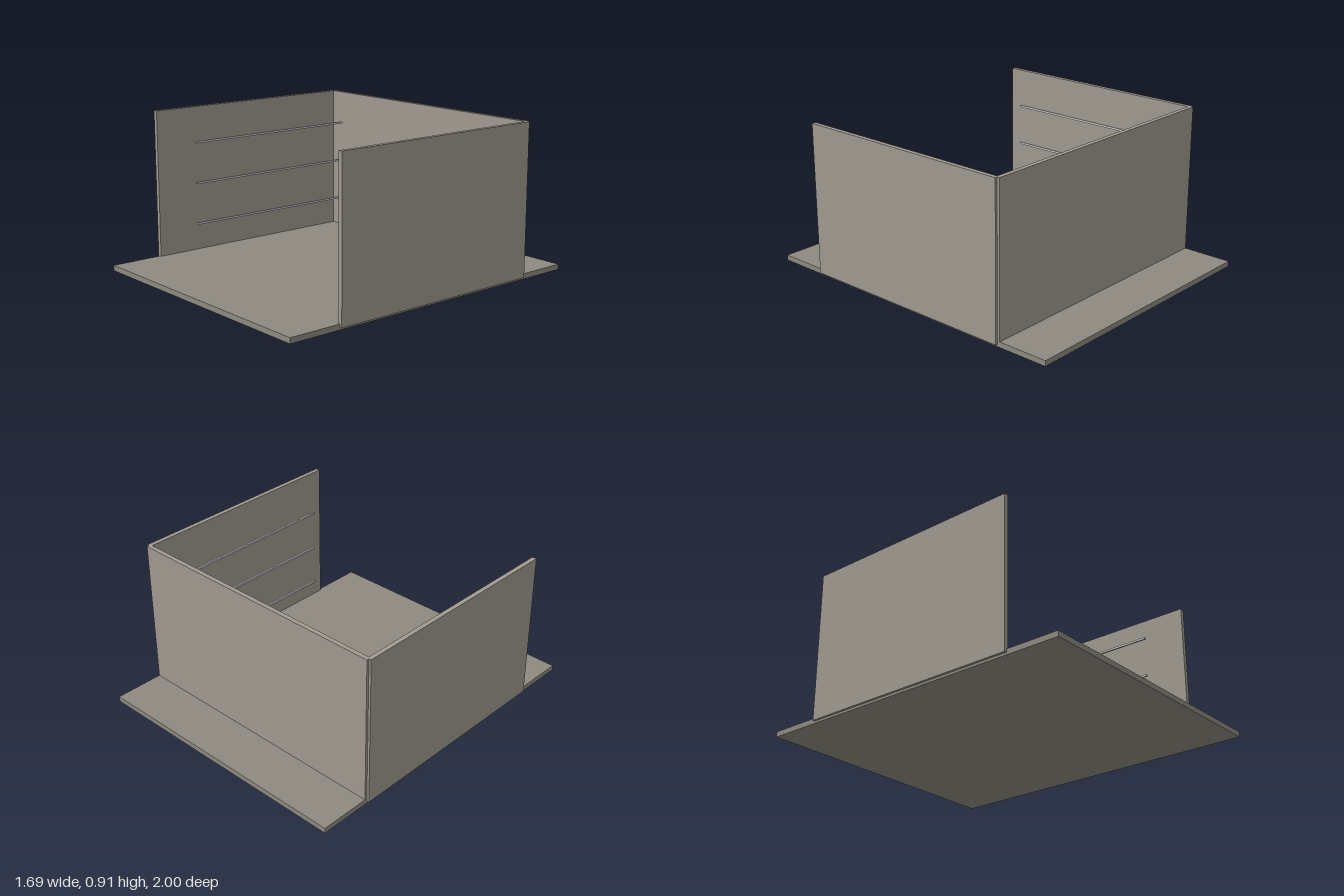
import * as THREE from 'three';

const panelMaterial = new THREE.MeshStandardMaterial({ color: 0xa09a90 });
const baseMaterial = new THREE.MeshStandardMaterial({ color: 0x8e8a80 });
const railMaterial = new THREE.MeshStandardMaterial({ color: 0xc8c8c8 });

// Box given by its minimum and maximum corners
function slab(name, material, [x0, y0, z0], [x1, y1, z1]) {
  const mesh = new THREE.Mesh(new THREE.BoxGeometry(x1 - x0, y1 - y0, z1 - z0), material);
  mesh.position.set((x0 + x1) / 2, (y0 + y1) / 2, (z0 + z1) / 2);
  mesh.name = name;
  return mesh;
}

export function createModel() {
  const model = new THREE.Group();
  model.name = 'openBox';

  // Floor board and back wall
  model.add(slab('baseBoard', baseMaterial, [-0.832, 0, -1], [0.832, 0.032, 1]));
  model.add(slab('backPanel', panelMaterial, [-0.832, 0.014, -0.698], [0.832, 0.912, -0.671]));

  for (const side of [1, -1]) {
    const label = side > 0 ? 'left' : 'right';

    // Side wall, lapping the edge of the base
    const wall = slab(label + 'Panel', panelMaterial, [0.819, 0.014, -0.683], [0.846, 0.912, 0.683]);
    wall.position.x *= side;
    model.add(wall);

    // Three thin shelf rails inside each wall
    const rails = new THREE.Group();
    rails.name = label + 'Rails';
    for (const y of [0.229, 0.477, 0.722]) {
      const rail = slab('rail', railMaterial, [0.686, y - 0.006, -0.635], [0.697, y + 0.006, 0.5]);
      rail.position.x *= side;
      rails.add(rail);
    }
    model.add(rails);
  }
  return model;
}
